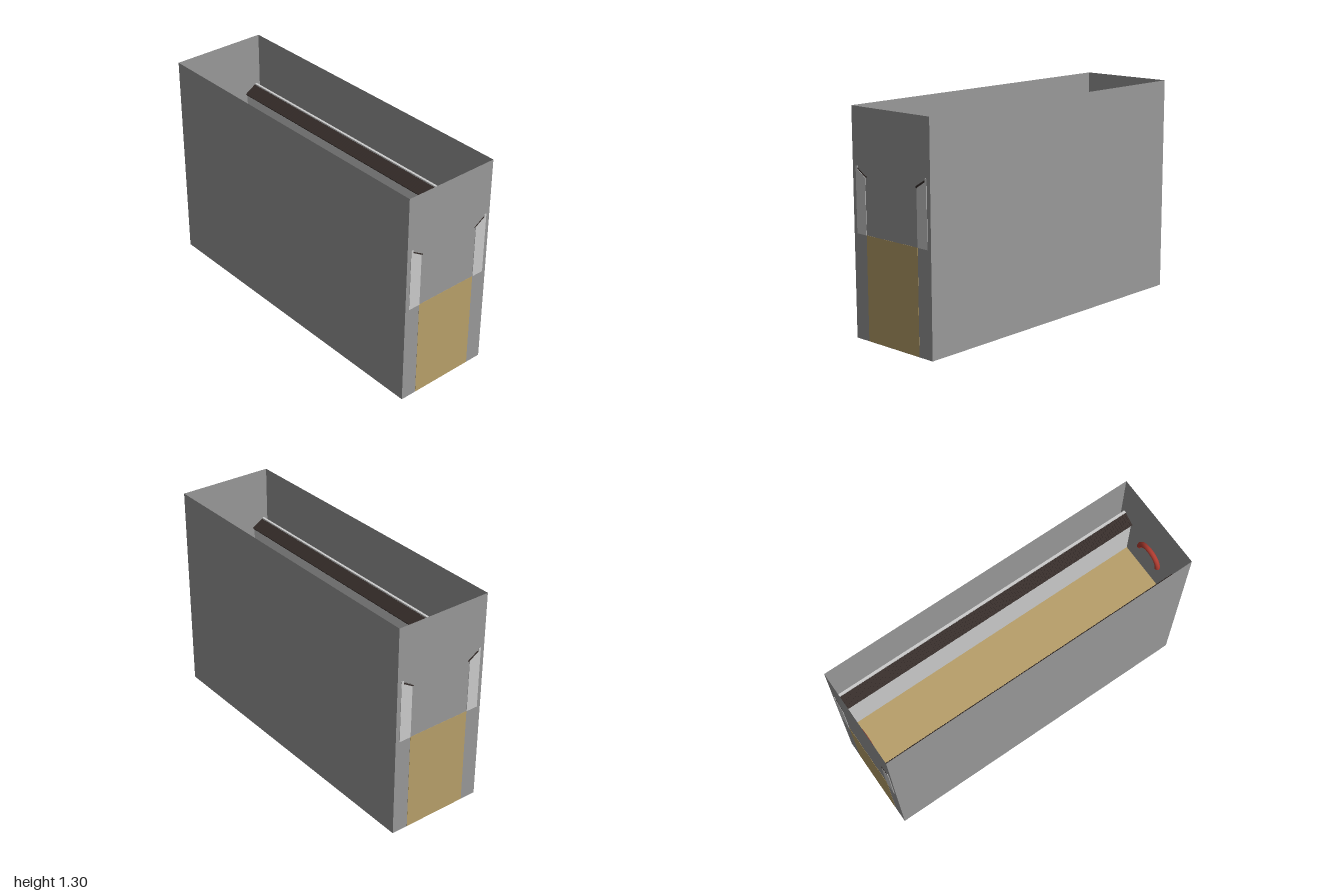
import * as THREE from 'three';
import { mergeGeometries } from 'three/addons/utils/BufferGeometryUtils.js';

export function createModel() {
  const material = (name, color, side = THREE.FrontSide) => {
    const m = new THREE.MeshStandardMaterial({ color, side });
    m.name = name;
    return m;
  };
  const grey = material('grey', 0x999999, THREE.DoubleSide);
  const tan = material('tan', 0xb8a06a);
  const white = material('white', 0xcccccc);
  const dark = material('dark brown', 0x362d2a);
  const red = material('red', 0xb03c30, THREE.DoubleSide);

  const model = new THREE.Group();
  const add = (name, geometry, mat, parent = model) => {
    const mesh = new THREE.Mesh(geometry, mat);
    mesh.name = name;
    parent.add(mesh);
    return mesh;
  };

  // Thin open-topped casing: four walls and a floor
  const wall = (w, h, x, y, z, ry, rx = 0) =>
    new THREE.PlaneGeometry(w, h).rotateX(rx).rotateY(ry).translate(x, y, z);
  const L = 1.995, H = 1.3, D = 0.6;
  add('casing', mergeGeometries([
    wall(L, H, 0, H / 2, D / 2, 0),
    wall(L, H, 0, H / 2, -D / 2, Math.PI),
    wall(D, H, L / 2, H / 2, 0, Math.PI / 2),
    wall(D, H, -L / 2, H / 2, 0, -Math.PI / 2),
    wall(L, D, 0, 0, 0, 0, Math.PI / 2),
  ]), grey);

  // Solid core filling the lower middle
  add('core', new THREE.BoxGeometry(1.997, 0.599, 0.4).translate(0, 0.3005, 0), tan);

  // Side wall with a raised outer lip, drawn as (z, y) and run along x
  const profile = new THREE.Shape([
    [0.2, 0.6], [0.275, 0.6], [0.275, 0.976], [0.26, 0.976], [0.26, 0.956], [0.2, 0.918],
  ].map(([z, y]) => new THREE.Vector2(z, y)));
  const sideWall = new THREE.ExtrudeGeometry(profile, { depth: 2, bevelEnabled: false })
    .translate(0, 0, -1).rotateY(-Math.PI / 2);

  // Sloping cover of narrow ribs on a thin backing
  const ribs = [new THREE.BoxGeometry(1.998, 0.006, 0.09)];
  const count = 120, pitch = 2 / count;
  for (let i = 0; i < count; i++) {
    ribs.push(new THREE.BoxGeometry(pitch * 0.7, 0.012, 0.09)
      .translate(-1 + (i + 0.5) * pitch, 0, 0));
  }
  const cover = mergeGeometries(ribs)
    .rotateX(-Math.atan2(0.048, 0.079)).translate(0, 0.943, 0.23);

  for (const side of [1, -1]) {
    const half = new THREE.Group();
    half.name = side > 0 ? 'frontSide' : 'backSide';
    half.rotation.y = side > 0 ? 0 : Math.PI;
    // The extrusion's z must point outwards on both halves
    add('sideWall', sideWall, white, half);
    add('ribbedCover', cover, dark, half);
    model.add(half);

    // Arched grab handle inside each end wall
    const handle = add(side > 0 ? 'leftHandle' : 'rightHandle',
      new THREE.TorusGeometry(0.085, 0.016, 8, 24, Math.PI), red);
    handle.rotation.y = Math.PI / 2;
    handle.position.set(side * 0.981, 0.84, 0);
  }
  return model;
}
